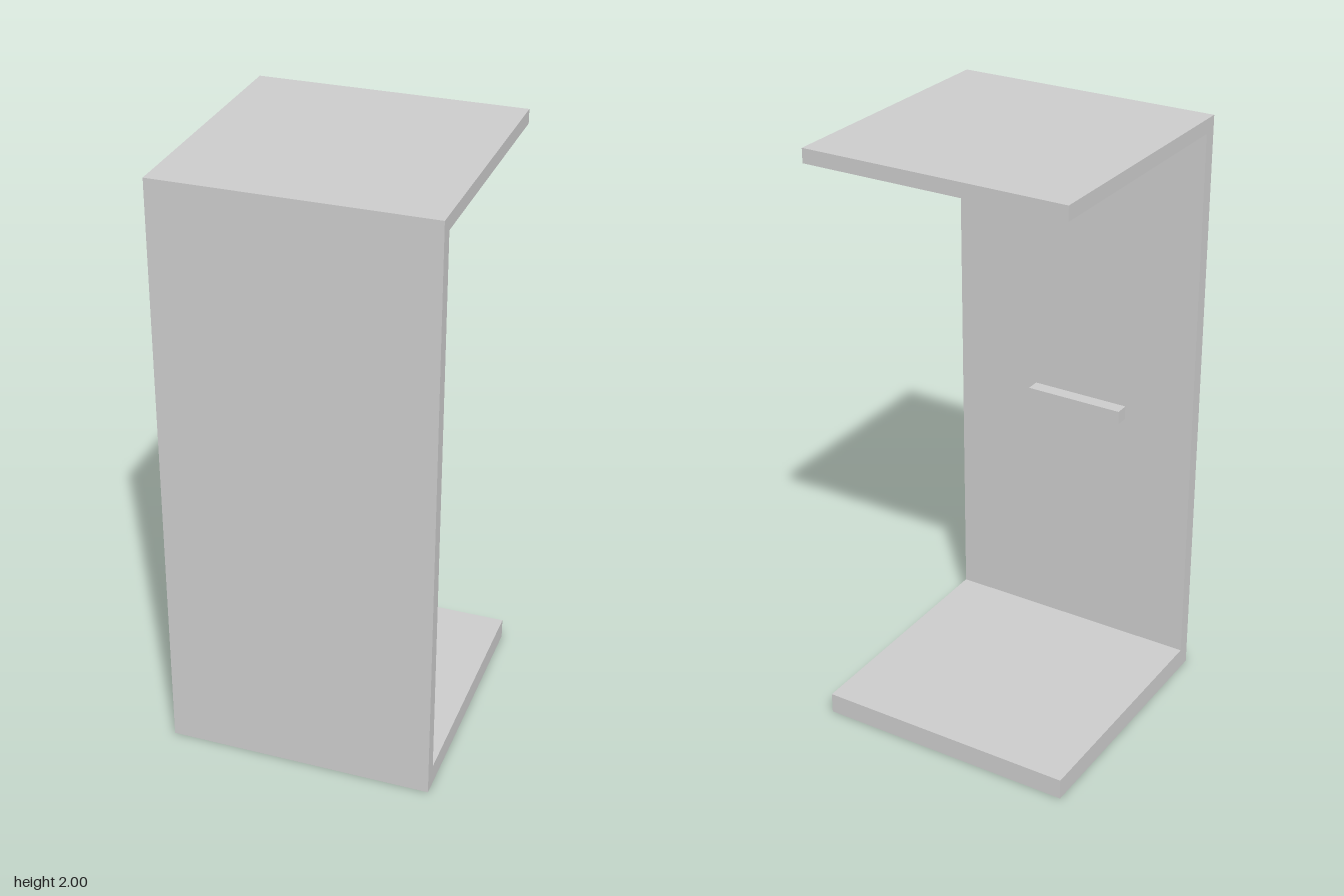
import * as THREE from 'three';

const WIDTH = 0.888, DEPTH = 0.888, HEIGHT = 2;
const WALL = 0.047, BASE = 0.071;

export function createModel() {
  const group = new THREE.Group();
  const material = new THREE.MeshStandardMaterial({ color: 0xcccccc });

  // Box given by its [min, max] extent on each axis
  const addBox = (name, [x0, x1], [y0, y1], [z0, z1]) => {
    const mesh = new THREE.Mesh(new THREE.BoxGeometry(x1 - x0, y1 - y0, z1 - z0), material);
    mesh.name = name;
    mesh.position.set((x0 + x1) / 2, (y0 + y1) / 2, (z0 + z1) / 2);
    group.add(mesh);
  };

  const x = [-WIDTH / 2, WIDTH / 2];
  const back = -DEPTH / 2, front = DEPTH / 2, inner = front - WALL;

  // Base and top plates reach the front; the panel stands between them
  addBox('basePlate', x, [0, BASE], [back, front]);
  addBox('topPlate', x, [HEIGHT - WALL, HEIGHT], [back, front]);
  addBox('frontPanel', x, [BASE, HEIGHT - WALL], [inner, front]);

  // Short bar on the inner face, slightly off centre
  addBox('innerBar', [-0.197, 0.148], [0.915, 0.962], [inner - WALL, inner]);

  return group;
}
